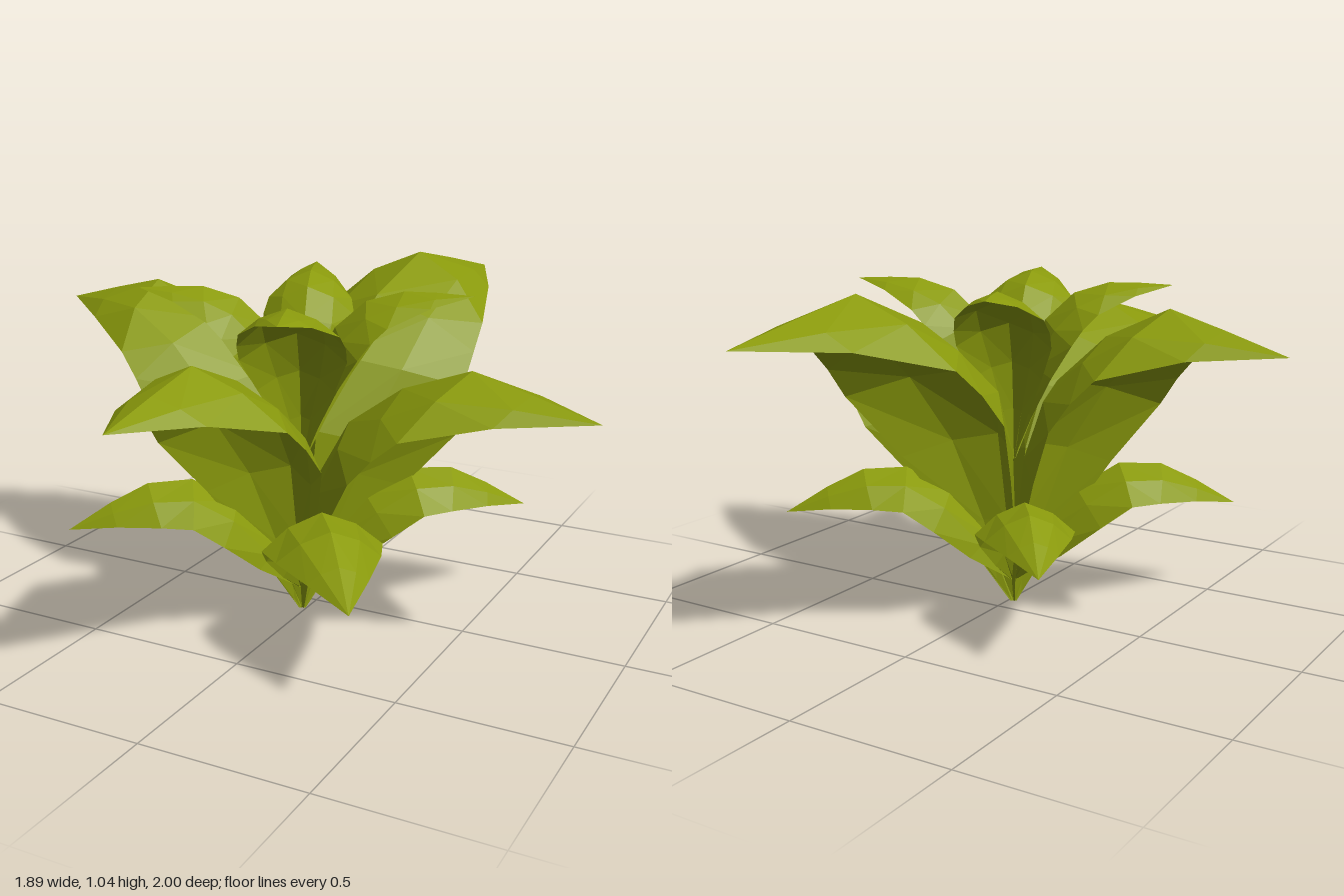
import * as THREE from 'three';

const BASE = [-0.015, 0.07]; // x, z where all leaves meet

// Cross-sections along a leaf: [midrib reach, midrib height, half width, edge reach, edge height].
// Reach and width are fractions of the tip's reach, height of the tip's rise.
const LARGE = [
  [0, 0, 0.01, 0.005, 0],
  [0.03, 0.3, 0.11, 0.12, 0.27],
  [0.07, 0.6, 0.205, 0.25, 0.52],
  [0.18, 0.83, 0.295, 0.38, 0.73],
  [0.37, 1.0, 0.285, 0.45, 0.83],
  [0.6, 1.11, 0.268, 0.525, 0.91],
  [0.79, 1.06, 0.155, 0.755, 0.98],
  [1, 1, 0, 1, 1],
];
const LOW = [
  [0, 0, 0.01, 0, 0],
  [0.11, 0.62, 0.11, 0.2, 0.42],
  [0.28, 1.25, 0.2, 0.36, 0.86],
  [0.47, 1.58, 0.235, 0.49, 1.16],
  [0.66, 1.56, 0.2, 0.62, 1.17],
  [0.82, 1.33, 0.115, 0.8, 1.12],
  [1, 1, 0, 1, 1],
];
const INNER = [
  [0, 0, 0.01, 0, 0],
  [0.03, 0.3, 0.11, 0.13, 0.27],
  [0.08, 0.57, 0.22, 0.26, 0.5],
  [0.2, 0.8, 0.3, 0.39, 0.69],
  [0.38, 0.95, 0.3, 0.46, 0.78],
  [0.6, 1.01, 0.275, 0.55, 0.86],
  [0.79, 1.01, 0.15, 0.77, 0.95],
  [1, 1, 0, 1, 1],
];

// Arched leaf running from the base to a given tip, five points across
function leafGeometry(rows, tip, baseY) {
  const dx = tip[0] - BASE[0], dz = tip[2] - BASE[1];
  const reach = Math.hypot(dx, dz), rise = tip[1] - baseY;
  const ux = dx / reach, uz = dz / reach;
  const pos = [], index = [];
  for (const [mr, my, w, er, ey] of rows) {
    for (const s of [-1, -0.56, 0, 0.56, 1]) {
      const k = Math.pow(Math.abs(s), 1.7); // how far it has bent towards the edge
      const r = (mr + (er - mr) * k) * reach;
      const y = baseY + (my + (ey - my) * k) * rise;
      const side = s * w * reach;
      pos.push(BASE[0] + ux * r - uz * side, y, BASE[1] + uz * r + ux * side);
    }
  }
  for (let i = 0; i < rows.length - 1; i++) {
    for (let j = 0; j < 4; j++) {
      const a = i * 5 + j, b = a + 1, c = a + 5, d = a + 6;
      if (j < 2) index.push(a, b, c, b, d, c);
      else index.push(a, b, d, a, d, c);
    }
  }
  const g = new THREE.BufferGeometry();
  g.setAttribute('position', new THREE.Float32BufferAttribute(pos, 3));
  g.setIndex(index);
  g.computeVertexNormals();
  return g;
}

export function createModel() {
  const plant = new THREE.Group();
  plant.name = 'plant';
  const material = new THREE.MeshStandardMaterial({
    color: 0x8a9a0c, flatShading: true, side: THREE.DoubleSide,
  });

  const whorl = (name, rows, baseY, tips) => {
    const group = new THREE.Group();
    group.name = name + 'Leaves';
    for (const tip of tips) {
      const leaf = new THREE.Mesh(leafGeometry(rows, tip, baseY), material);
      leaf.name = name + 'Leaf';
      group.add(leaf);
    }
    plant.add(group);
  };

  // four large arching leaves
  whorl('large', LARGE, 0, [
    [0.945, 0.775, 0.22], [0.16, 0.94, -1], [-0.945, 0.89, -0.07], [-0.06, 0.82, 1],
  ]);
  // four low drooping leaves on the diagonals
  whorl('low', LOW, 0.07, [
    [-0.58, 0.31, 0.5], [0.435, 0.31, 0.66], [0.56, 0.31, -0.35], [-0.4, 0.285, -0.43],
  ]);
  // four small upright leaves in the heart
  whorl('inner', INNER, 0.47, [
    [-0.45, 1.02, 0.27], [0.48, 1.02, -0.06], [0.17, 1.02, 0.55], [-0.19, 1.02, -0.37],
  ]);
  return plant;
}
